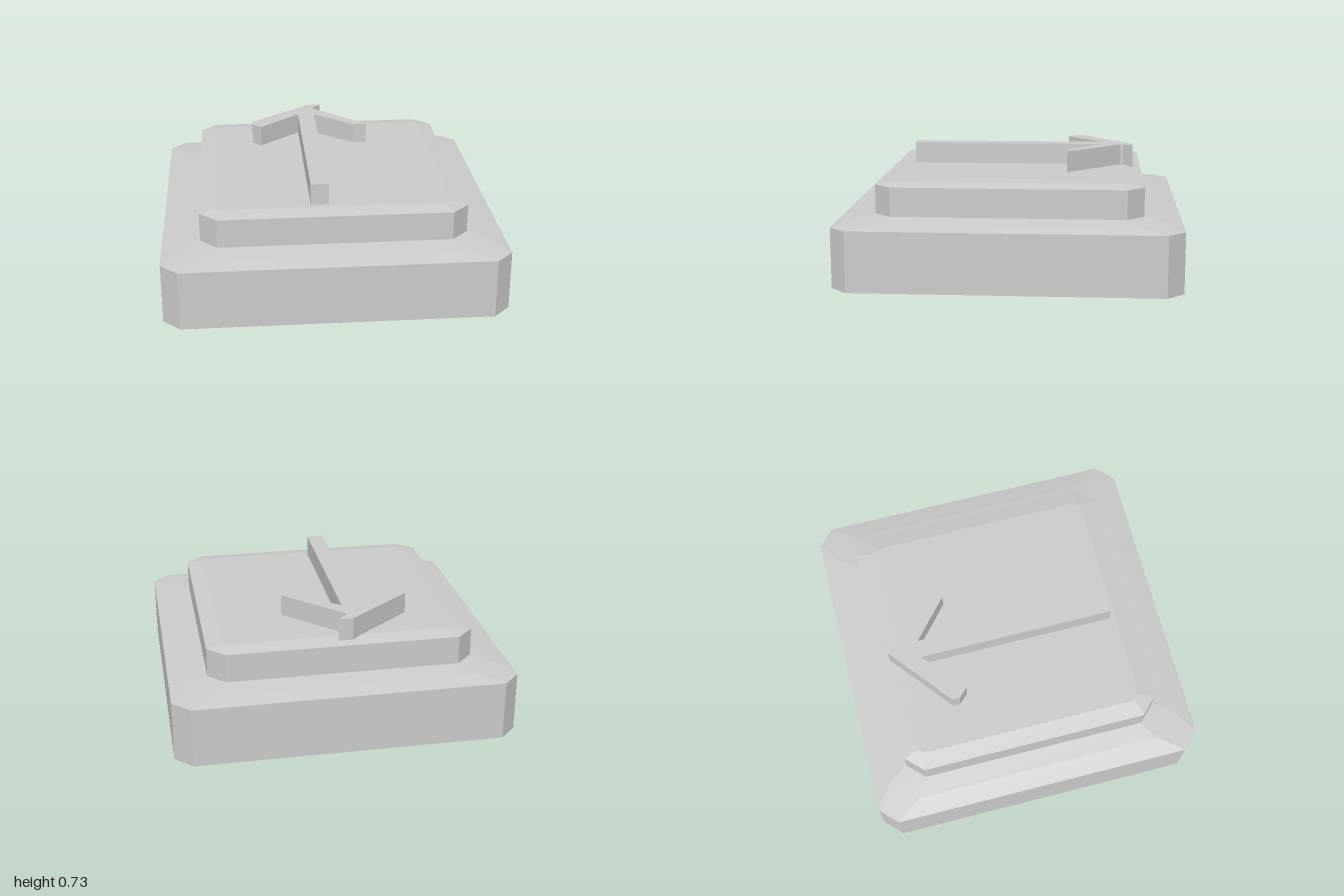
import * as THREE from 'three';

const material = new THREE.MeshStandardMaterial({ color: 0xcccccc, flatShading: true });

// Square outline with cut corners: half width h, corner cut c, height y
function ring(h, c, y) {
  const k = h - c;
  return [[h, -k], [h, k], [k, h], [-k, h], [-h, k], [-h, -k], [-k, -h], [k, -h]]
    .map(([x, z]) => [x, y, z]);
}

// Solid skinned through a stack of rings, closed at both ends
function stack(sections) {
  const rings = sections.map((s) => ring(...s));
  const n = 8, pos = [];
  const tri = (...points) => points.forEach((p) => pos.push(...p));
  for (let r = 0; r < rings.length - 1; r++) {
    const lo = rings[r], hi = rings[r + 1];
    for (let i = 0; i < n; i++) {
      const j = (i + 1) % n;
      tri(lo[j], lo[i], hi[i]);
      tri(lo[j], hi[i], hi[j]);
    }
  }
  const bottom = rings[0], top = rings[rings.length - 1];
  for (let i = 1; i < n - 1; i++) {
    tri(bottom[0], bottom[i], bottom[i + 1]);
    tri(top[0], top[i + 1], top[i]);
  }
  const geometry = new THREE.BufferGeometry();
  geometry.setAttribute('position', new THREE.Float32BufferAttribute(pos, 3));
  geometry.computeVertexNormals();
  return geometry;
}

export function createModel() {
  const group = new THREE.Group();
  const add = (name, geometry) => {
    const mesh = new THREE.Mesh(geometry, material);
    mesh.name = name;
    group.add(mesh);
    return mesh;
  };

  // Wide base with cut corners and a shallow sloping shoulder
  add('base', stack([
    [0.9, 0.03, 0], [1, 0.1, 0.02], [1, 0.1, 0.375],
    [0.89, 0.14, 0.398], [0.775, 0.1, 0.415],
  ]));

  // Raised cap with a bevelled top edge
  add('cap', stack([
    [0.778, 0.1, 0.4], [0.778, 0.1, 0.585], [0.68, 0.03, 0.603],
  ]));

  // Arrow pointing to the back, outline as x, z
  const outline = [
    [-0.135, 0.645], [-0.03, 0.645], [-0.03, -0.535], [0.21, -0.325], [0.295, -0.325],
    [-0.03, -0.65], [-0.03, -0.67], [0.025, -0.727], [-0.06, -0.727],
    [-0.44, -0.42], [-0.44, -0.375], [-0.387, -0.32], [-0.135, -0.54],
  ];
  const shape = new THREE.Shape(outline.map(([x, z]) => new THREE.Vector2(x, -z)));
  const arrow = new THREE.ExtrudeGeometry(shape, { depth: 0.135, bevelEnabled: false });
  arrow.rotateX(-Math.PI / 2);
  add('arrow', arrow).position.y = 0.595;

  return group;
}
